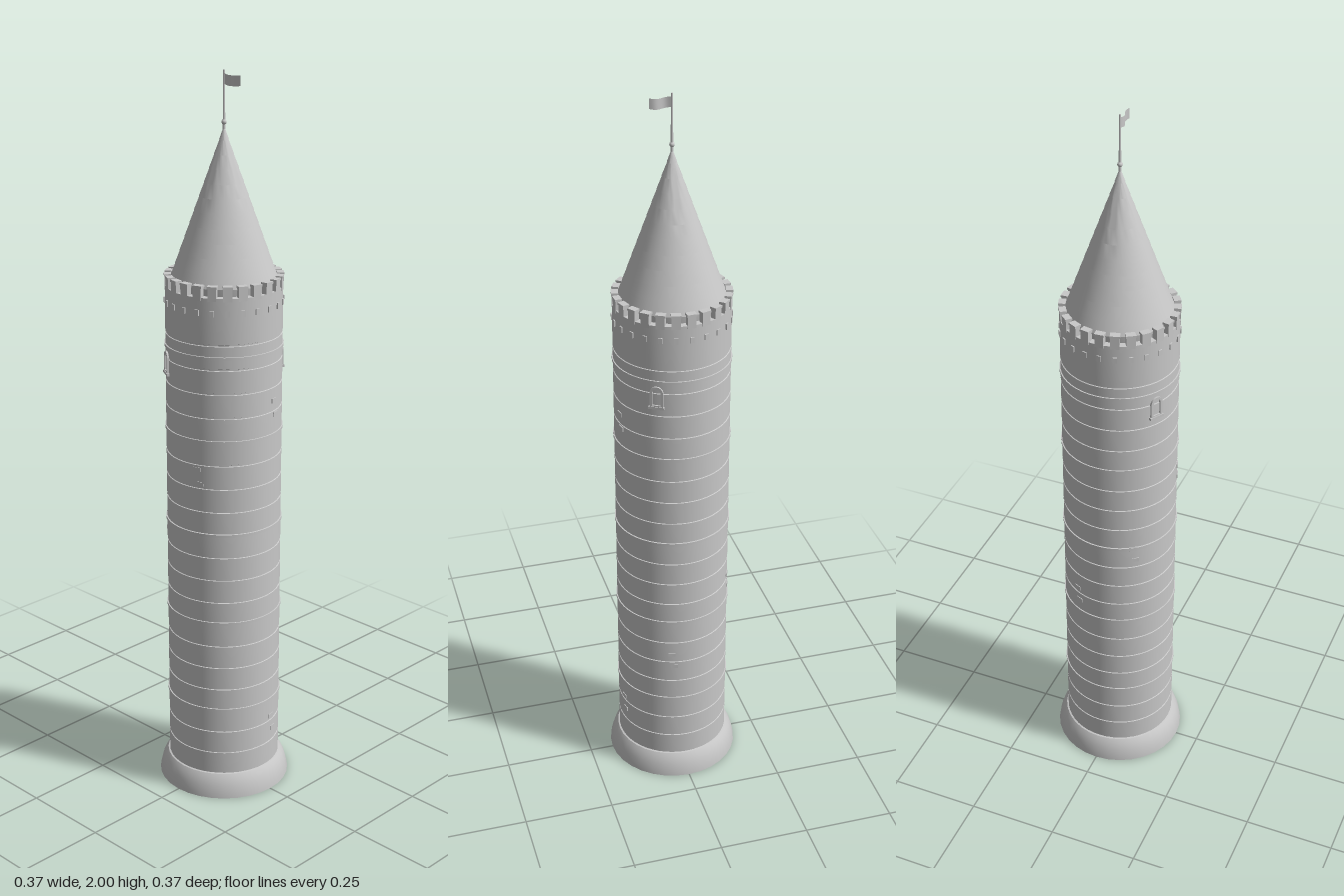
import * as THREE from 'three';
import { toCreasedNormals } from 'three/addons/utils/BufferGeometryUtils.js';

const stone = new THREE.MeshStandardMaterial({ color: 0xc8c8c8 });
stone.name = 'pale grey stone';
const cloth = new THREE.MeshStandardMaterial({ color: 0xc8c8c8, side: THREE.DoubleSide });
cloth.name = 'pale grey cloth';

const RADIUS = 0.156;

function add(parent, name, geometry, x = 0, y = 0, z = 0, material = stone) {
  const mesh = new THREE.Mesh(geometry, material);
  mesh.name = name;
  mesh.position.set(x, y, z);
  parent.add(mesh);
  return mesh;
}

// Turned part with crisp edges, from [radius, height] pairs going upwards
function turned(points, sides) {
  const profile = points.map(([r, y]) => new THREE.Vector2(r, y));
  return toCreasedNormals(new THREE.LatheGeometry(profile, sides), 0.5);
}

// Group turned so that its local +z points outwards at the given angle
function facing(parent, name, angle) {
  const group = new THREE.Group();
  group.name = name;
  group.rotation.y = angle;
  parent.add(group);
  return group;
}

function archShape(width, bottom, spring) {
  const shape = new THREE.Shape();
  shape.moveTo(-width / 2, bottom);
  shape.lineTo(width / 2, bottom);
  shape.lineTo(width / 2, spring);
  shape.absarc(0, spring, width / 2, 0, Math.PI, false);
  shape.closePath();
  return shape;
}

export function createModel() {
  const tower = new THREE.Group();
  tower.name = 'tower';

  // Flared foot
  add(tower, 'base', turned([
    [0, 0], [0.184, 0], [0.182, 0.015], [0.177, 0.035], [0.169, 0.054], [0.161, 0.065], [0.15, 0.068],
  ], 32));

  // Shaft of stone courses with a shallow groove between them
  const shaft = [[0.15, 0.05], [RADIUS, 0.06]];
  for (let i = 0; i < 19; i++) {
    const y = 0.132 + i * 0.066;
    shaft.push([RADIUS, y - 0.003], [0.1535, y - 0.002], [0.1535, y + 0.002], [RADIUS, y + 0.003]);
  }
  shaft.push([RADIUS, 1.445], [0.12, 1.445]);
  add(tower, 'shaft', turned(shaft, 48));

  // Raised string courses
  for (const y of [0.265, 0.53, 0.79, 1.055, 1.285]) {
    add(tower, 'stringCourse', turned([
      [0.152, -0.005], [0.159, -0.004], [0.159, 0.004], [0.152, 0.005],
    ], 48), 0, y);
  }

  // Battlements, with a small corbel under each merlon
  const merlon = new THREE.BoxGeometry(0.023, 0.036, 0.016);
  const cap = new THREE.BoxGeometry(0.026, 0.006, 0.019);
  const corbel = new THREE.BoxGeometry(0.011, 0.016, 0.012);
  for (let i = 0; i < 24; i++) {
    const section = facing(tower, 'battlement', (i + 0.2) / 24 * Math.PI * 2);
    add(section, 'merlon', merlon, 0, 1.455, 0.1485);
    add(section, 'merlonCap', cap, 0, 1.473, 0.1485);
    add(section, 'corbel', corbel, 0, 1.405, 0.153);
  }

  // Conical roof in overlapping tiers
  const tiers = 11;
  const roof = [[0, 1.446], [0.139, 1.446], [0.142, 1.465]];
  for (let i = 0; i < tiers; i++) {
    const r = 0.142 * (1 - i / tiers);
    const y = 1.465 + 0.395 * i / tiers;
    roof.push([r, y], [r - 0.142 / tiers - 0.0012 * (i < tiers - 1), y + 0.395 / tiers]);
  }
  add(tower, 'roof', turned(roof, 40));

  // Flagpole with a collar at the roof tip
  add(tower, 'flagpole', new THREE.CylinderGeometry(0.0025, 0.0035, 0.16, 10), 0, 1.92);
  add(tower, 'poleCollar', new THREE.SphereGeometry(0.007, 12, 8), 0, 1.869);

  // Waving flag
  const flag = new THREE.PlaneGeometry(0.056, 0.027, 12, 1);
  const p = flag.attributes.position;
  for (let i = 0; i < p.count; i++) {
    const t = p.getX(i) / 0.056 + 0.5;
    p.setZ(i, 0.004 * Math.sin(t * Math.PI * 2));
    p.setY(i, p.getY(i) - 0.003 * Math.sin(t * Math.PI));
  }
  flag.computeVertexNormals();
  add(tower, 'flag', flag, 0.03, 1.978, 0, cloth);

  // Two arched windows on opposite sides
  const frameShape = archShape(0.036, 1.212, 1.255);
  frameShape.holes.push(archShape(0.022, 1.219, 1.255));
  const frame = new THREE.ExtrudeGeometry(frameShape, { depth: 0.008, bevelEnabled: false, curveSegments: 8 });
  for (const angle of [-0.535, Math.PI - 0.535]) {
    const opening = facing(tower, 'window', angle);
    add(opening, 'windowFrame', frame, 0, 0, 0.152);
    add(opening, 'windowSill', new THREE.BoxGeometry(0.042, 0.007, 0.012), 0, 1.212, 0.156);
  }

  // Loose pairs of proud bricks: angle around the tower, height
  const brick = new THREE.BoxGeometry(0.02, 0.012, 0.006);
  for (const [angle, y] of [[0.3, 0.955], [-0.95, 0.77], [1.78, 1.13], [1.78, 0.19], [-2.03, 0.59], [2.86, 0.4]]) {
    const patch = facing(tower, 'brickPatch', angle);
    add(patch, 'brick', brick, 0, y + 0.02, 0.1545);
    add(patch, 'brick', brick, 0.008, y - 0.02, 0.1545);
  }

  return tower;
}
